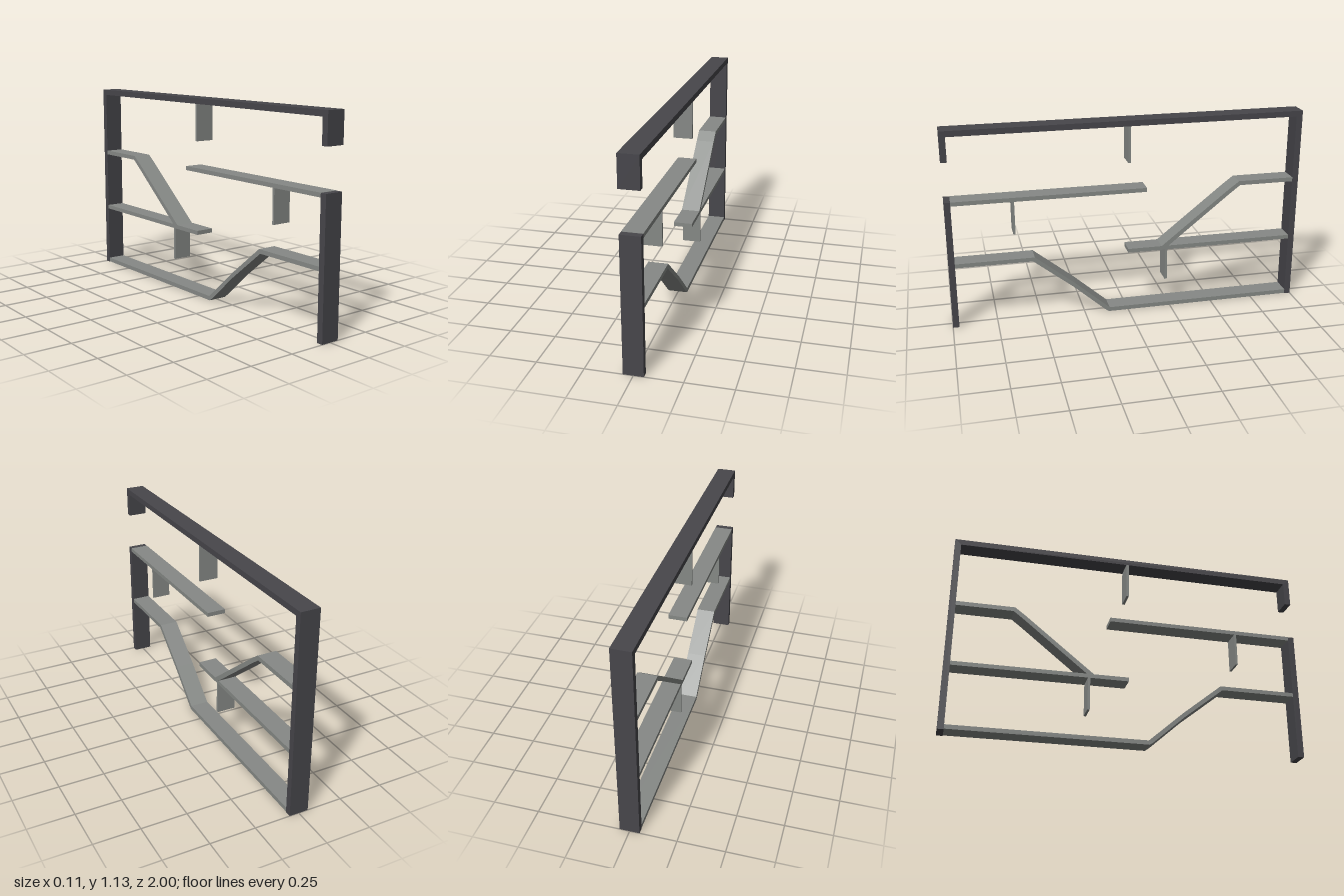
import * as THREE from 'three';

const WIDTH = 0.106;

export function createModel() {
  const model = new THREE.Group();
  model.name = 'rampFrame';

  const frameDark = new THREE.MeshStandardMaterial({ color: 0x47464b });
  frameDark.name = 'frame charcoal';
  const shelfGrey = new THREE.MeshStandardMaterial({ color: 0x868986 });
  shelfGrey.name = 'shelf grey';

  // Full-width slab between two z and two y limits
  function slab(name, material, z0, z1, y0, y1) {
    const mesh = new THREE.Mesh(new THREE.BoxGeometry(WIDTH, y1 - y0, z1 - z0), material);
    mesh.position.set(0, (y0 + y1) / 2, (z0 + z1) / 2);
    mesh.name = name;
    model.add(mesh);
  }

  // Side profile of [z, y] points extruded across the width
  function profile(name, material, points) {
    const shape = new THREE.Shape(points.map(([z, y]) => new THREE.Vector2(z, y)));
    const geometry = new THREE.ExtrudeGeometry(shape, { depth: WIDTH, bevelEnabled: false });
    geometry.translate(0, 0, -WIDTH / 2).rotateY(-Math.PI / 2);
    const mesh = new THREE.Mesh(geometry, material);
    mesh.name = name;
    model.add(mesh);
  }

  // Outer frame: roof and back wall with a short front lip, and a separate front wall
  profile('outerFrame', frameDark, [
    [1, 0.958], [1, 1.126], [-1, 1.126], [-1, 0], [-0.965, 0],
    [-0.965, 1.094], [0.965, 1.094], [0.965, 0.958],
  ]);
  slab('frontWall', frameDark, 0.965, 1, 0, 0.737);

  // Straight floors
  slab('upperFrontFloor', shelfGrey, -0.106, 0.965, 0.715, 0.738);
  slab('middleBackFloor', shelfGrey, -0.965, 0, 0.358, 0.381);

  // Front floor sloping down to the ground floor
  profile('lowerRampFloor', shelfGrey, [
    [0.965, 0.381], [0.53, 0.381], [0.305, 0.199], [0.11, 0.027], [-0.965, 0.027],
    [-0.965, 0.003], [0.115, 0.003], [0.138, 0.02], [0.315, 0.178], [0.54, 0.358], [0.965, 0.358],
  ]);

  // Ramp rising from the middle floor to the upper back floor
  profile('upperRampFloor', shelfGrey, [
    [-0.195, 0.381], [-0.58, 0.69], [-0.643, 0.737], [-0.965, 0.737],
    [-0.965, 0.713], [-0.65, 0.713], [-0.595, 0.671], [-0.235, 0.381],
  ]);

  // Thin panels hanging below the roof and floors
  const hangers = [
    ['roofHanger', -0.014, 0, 0.888, 1.094],
    ['frontHanger', 0.629, 0.641, 0.527, 0.715],
    ['backHanger', -0.228, -0.215, 0.174, 0.358],
  ];
  for (const [name, ...limits] of hangers) slab(name, shelfGrey, ...limits);

  return model;
}
